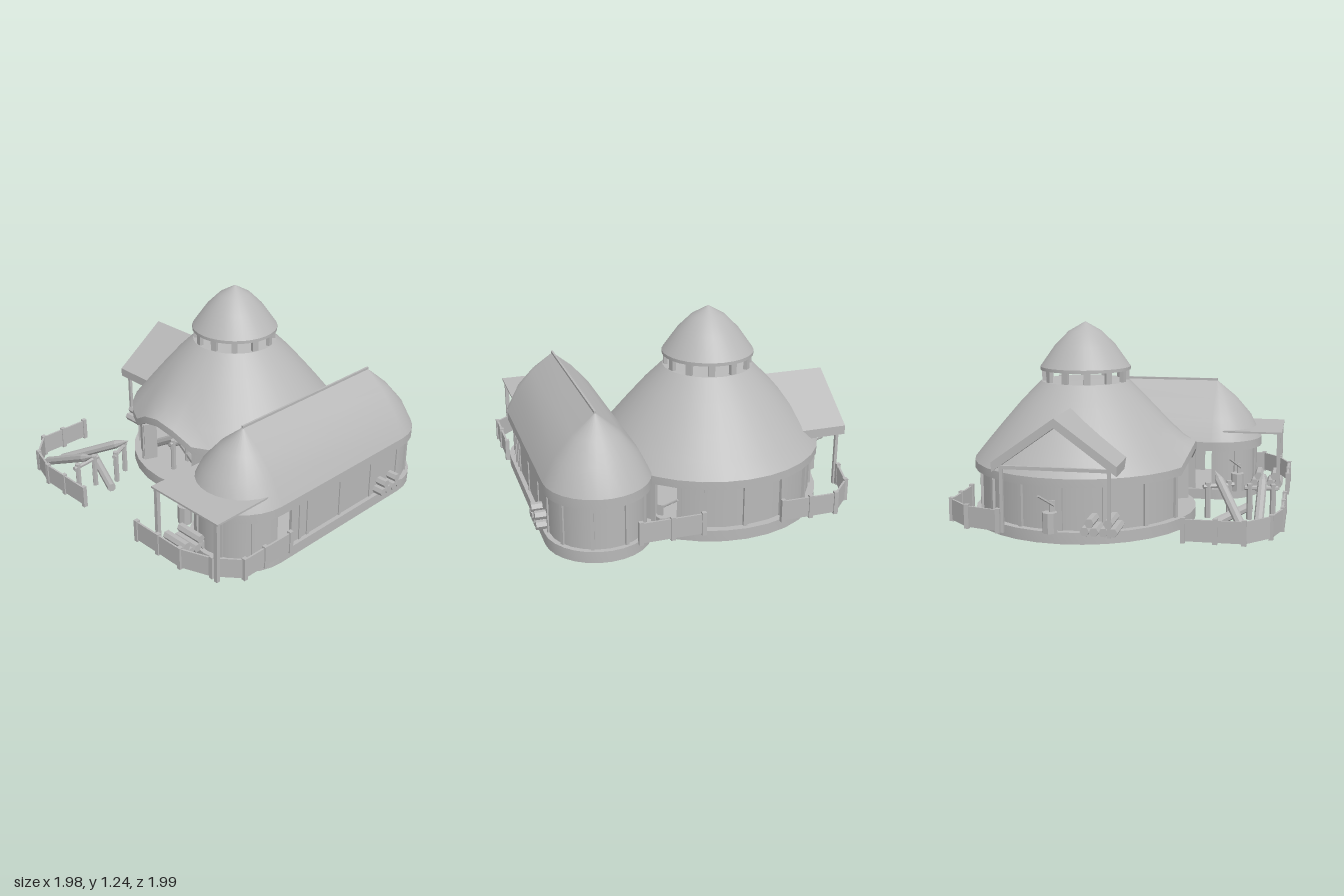
import * as THREE from 'three';

const mat = new THREE.MeshStandardMaterial({ color: 0xb8b8b8, side: THREE.DoubleSide });
mat.name = 'plain grey';
const flat = (g) => { const f = g.index ? g.toNonIndexed() : g; f.computeVertexNormals(); return f; };
const V = (x, y, z) => new THREE.Vector3(x, y, z);
const UP = V(0, 1, 0), FLOOR = 0.07, EAVE = 0.335;

export function createModel() {
  const root = new THREE.Group();
  root.name = 'village';

  const add = (name, geo, x = 0, y = 0, z = 0) => {
    const m = new THREE.Mesh(geo, mat);
    m.name = name;
    m.position.set(x, y, z);
    root.add(m);
    return m;
  };
  const box = (name, w, h, d, x, y, z, ry = 0) => {
    const m = add(name, new THREE.BoxGeometry(w, h, d), x, y, z);
    m.rotation.y = ry;
    return m;
  };
  // Cylinder or cone from point a to point b
  const rod = (name, a, b, r, sides = 6, rEnd = r) => {
    const m = add(name, flat(new THREE.CylinderGeometry(rEnd, r, a.distanceTo(b), sides)));
    m.position.copy(a).lerp(b, 0.5);
    m.quaternion.setFromUnitVectors(UP, b.clone().sub(a).normalize());
    return m;
  };
  // Skin over closed rings; repeated profile points make a sharp edge
  const loft = (profile, ring) => {
    const rings = profile.map(([r, y], i) => ring(r, y, i));
    const n = rings[0].length, idx = [];
    for (let i = 0; i + 1 < rings.length; i++) {
      for (let j = 0; j < n; j++) {
        const a = i * n + j, b = i * n + (j + 1) % n;
        idx.push(a, b, a + n, b, b + n, a + n);
      }
    }
    const g = new THREE.BufferGeometry().setFromPoints(rings.flat());
    g.setIndex(idx);
    g.computeVertexNormals();
    return g;
  };
  const wallY = (EAVE + FLOOR) / 2, wallH = EAVE - FLOOR;
  // Foundation skirt with a floor on top, open underneath
  const skirt = (r) => [[r, 0], [r, FLOOR], [r, FLOOR], [0, FLOOR]];

  // ---- Round house ----
  const HX = -0.2, HZ = -0.29, N = 32, DEG = Math.PI / 180;
  const circle = (r, y) => Array.from({ length: N }, (_, j) =>
    V(r * Math.sin(j / N * 2 * Math.PI), y, r * Math.cos(j / N * 2 * Math.PI)));
  add('roundFoundation', loft(skirt(0.705), circle), HX, 0, HZ);
  // Wall arcs leave a wide front entrance and a narrow back door
  for (const [from, to] of [[22.5, 132], [146, 337.5]]) {
    add('roundWall', new THREE.CylinderGeometry(0.66, 0.66, wallH, 16, 1, true, from * DEG, (to - from) * DEG), HX, wallY, HZ);
  }
  for (const d of [22.5, 45, 67.5, 90, 112.5, 132, 146, 157.5, 180, 202.5, 225, 247.5, 270, 292.5, 315, 337.5]) {
    const a = d * DEG;
    box('wallPost', 0.025, wallH, 0.03, HX + 0.66 * Math.sin(a), wallY, HZ + 0.66 * Math.cos(a), a);
  }
  for (const s of [-1, 1]) box('entranceJamb', 0.035, wallH, 0.09, HX + s * 0.235, wallY, HZ + 0.575, s * Math.PI / 8);

  // Roof whose eave lifts into an arch over the front entrance
  const lift = { 0: 0.115, 1: 0.082, 31: 0.082 };
  const weight = [1, 1, 1, 1, 1, 0.45, 0.15];
  const roundRoof = [[0.64, EAVE], [0.705, EAVE], [0.705, EAVE], [0.705, 0.385], [0.705, 0.385],
    [0.625, 0.485], [0.525, 0.605], [0.4, 0.75], [0.28, 0.87], [0.28, 0.87], [0, 0.872]];
  add('roundRoof', loft(roundRoof, (r, y, i) => circle(r, y).map((p, j) => {
    p.y += (lift[j] || 0) * (weight[i] || 0);
    return p;
  })), HX, 0, HZ);

  // Smoke vent: ring of posts, rim and pointed cap
  for (let i = 0; i < 12; i++) {
    const a = (i + 0.5) * Math.PI / 6;
    box('ventPost', 0.04, 0.08, 0.025, HX + 0.262 * Math.sin(a), 0.905, HZ + 0.262 * Math.cos(a), a);
  }
  const cap = [[0, 0.94], [0.285, 0.94], [0.285, 0.94], [0.285, 0.96], [0.285, 0.96],
    [0.19, 1.095], [0.105, 1.18], [0, 1.24]];
  add('ventRoof', loft(cap, circle), HX, 0, HZ);

  // ---- Long house with rounded ends ----
  const LX = 0.625, LZ = -0.11, OFF = 0.57;
  const stadium = (r, y) => {
    const pts = [];
    for (const s of [1, -1]) {
      for (let k = 0; k <= 14; k++) {
        const a = (k / 14 - 0.5) * Math.PI;
        pts.push(V(s * r * Math.sin(a), y, s * (r * Math.cos(a) + OFF)));
      }
    }
    return pts;
  };
  add('longFoundation', loft(skirt(0.32), stadium), LX, 0, LZ);
  add('longRoof', loft([[0.27, EAVE], [0.32, EAVE], [0.32, EAVE], [0.32, 0.395], [0.32, 0.395],
    [0.245, 0.545], [0.14, 0.668], [0, 0.785]], stadium), LX, 0, LZ);
  box('ridgeBeam', 0.012, 0.03, 1.15, LX, 0.78, LZ);
  for (const s of [1, -1]) {
    add('endWall', new THREE.CylinderGeometry(0.29, 0.29, wallH, 12, 1, true, s > 0 ? -Math.PI / 2 : Math.PI / 2, Math.PI),
      LX, wallY, LZ + s * OFF);
    // Side walls stop short of the front end, leaving doorways
    box('sideWall', 0.015, wallH, 1.025, LX + s * 0.285, wallY, -0.1675);
    for (const z of [0.34, 0.27, 0.2, -0.1, -0.4, -0.67]) box('sidePost', 0.02, wallH, 0.02, LX + s * 0.29, wallY, z);
    for (const a of [-1, -0.35, 0.35, 1]) {
      box('endPost', 0.02, wallH, 0.02, LX + 0.29 * Math.sin(a), wallY, LZ + s * (OFF + 0.29 * Math.cos(a)), s * a);
    }
  }

  // ---- Porches ----
  const gable = new THREE.Shape([[-0.66, 0.487], [-0.29, 0.75], [0.07, 0.487], [0.07, 0.43], [-0.29, 0.695], [-0.66, 0.43]]
    .map(([z, y]) => new THREE.Vector2(z, y)));
  const gableGeo = new THREE.ExtrudeGeometry(gable, { depth: 0.4, bevelEnabled: false });
  gableGeo.rotateY(-Math.PI / 2);
  add('sidePorchRoof', gableGeo, -0.59, 0, 0);
  box('sidePorchBeam', 0.02, 0.02, 0.66, -0.96, 0.455, HZ);
  for (const z of [-0.61, 0.02]) box('sidePorchPost', 0.02, 0.39, 0.02, -0.96, FLOOR + 0.195, z);
  box('frontPorchRoof', 0.55, 0.012, 0.4, LX, 0.464, 0.73);
  for (const x of [0.375, 0.875]) box('frontPorchPost', 0.025, 0.39, 0.025, x, FLOOR + 0.195, 0.91);

  // ---- Fences ----
  const fences = [
    [[-0.43, -0.985], [-0.61, -0.985], [-0.775, -0.985], [-0.915, -0.84], [-0.975, -0.63]],
    [[0.07, -0.985], [0.26, -0.985], [0.45, -0.985]],
    [[-0.975, 0.44], [-0.975, 0.62], [-0.975, 0.78], [-0.83, 0.92], [-0.645, 0.977], [-0.465, 0.977], [-0.26, 0.977]],
    [[0.26, 0.977], [0.45, 0.977], [0.64, 0.977], [0.83, 0.905], [0.97, 0.785], [0.97, 0.62], [0.97, 0.41]],
  ];
  for (const path of fences) {
    path.forEach(([x, z], i) => {
      box('fencePost', 0.027, 0.145, 0.027, x, FLOOR + 0.0725, z);
      if (!i) return;
      const [px, pz] = path[i - 1];
      box('fencePanel', Math.hypot(x - px, z - pz), 0.125, 0.012, (x + px) / 2, 0.143, (z + pz) / 2, -Math.atan2(z - pz, x - px));
    });
  }

  // ---- Sharpened stakes on trestles, outside and in the entrance ----
  const stake = (tail, tip) => {
    const neck = tip.clone().lerp(tail, 0.1 / tail.distanceTo(tip));
    rod('stake', tail, neck, 0.028, 8);
    rod('stakeTip', neck, tip, 0.028, 8, 0.001);
  };
  const trestle = (x, z, ry) => {
    const dx = Math.sin(ry), dz = Math.cos(ry);
    rod('trestleBeam', V(x - dx * 0.1, 0.265, z - dz * 0.1), V(x + dx * 0.1, 0.265, z + dz * 0.1), 0.014);
    for (const s of [-0.07, 0.07]) {
      rod('trestleLeg', V(x + dx * s, FLOOR, z + dz * s), V(x + dx * s, 0.29, z + dz * s), 0.018);
    }
  };
  stake(V(-0.84, 0.1, 0.845), V(-0.33, 0.345, 0.845));
  stake(V(-0.79, 0.11, 0.76), V(-0.33, 0.345, 0.55));
  stake(V(-0.26, 0.11, 0.76), V(-0.76, 0.11, 0.555));
  trestle(-0.41, 0.84, 0.1);
  trestle(-0.39, 0.58, 0.5);
  stake(V(-0.5, 0.12, 0.22), V(-0.15, 0.33, 0.22));
  stake(V(-0.42, 0.12, 0.12), V(0, 0.345, 0.05));
  stake(V(-0.03, 0.12, 0.2), V(-0.45, 0.12, 0.02));
  trestle(-0.22, 0.2, 0.1);
  trestle(-0.08, 0.07, 0.3);

  // ---- Pairs of three-log piles, lying along x ----
  const logPiles = (x0, x1, z) => {
    for (const c of [-0.055, 0.055]) {
      for (const [dz, y] of [[-0.027, 0.1], [0.027, 0.1], [0, 0.15]]) {
        rod('log', V(x0, y, z + c + dz), V(x1, y, z + c + dz), 0.028, 6);
      }
    }
  };
  logPiles(0.85, 0.985, -0.545);
  logPiles(-0.97, -0.74, -0.04);
  logPiles(0.42, 0.6, 0.83);

  // ---- Chopping blocks with axes ----
  for (const [x, z] of [[0.29, -0.9], [0.31, 0.64], [-0.91, -0.34]]) {
    rod('choppingBlock', V(x, FLOOR, z), V(x, 0.19, z), 0.045, 8);
    rod('axeHandle', V(x + 0.02, 0.225, z + 0.02), V(x - 0.07, 0.3, z - 0.05), 0.007);
    box('axeHead', 0.035, 0.07, 0.012, x + 0.015, 0.22, z + 0.01, -0.7);
  }
  return root;
}
